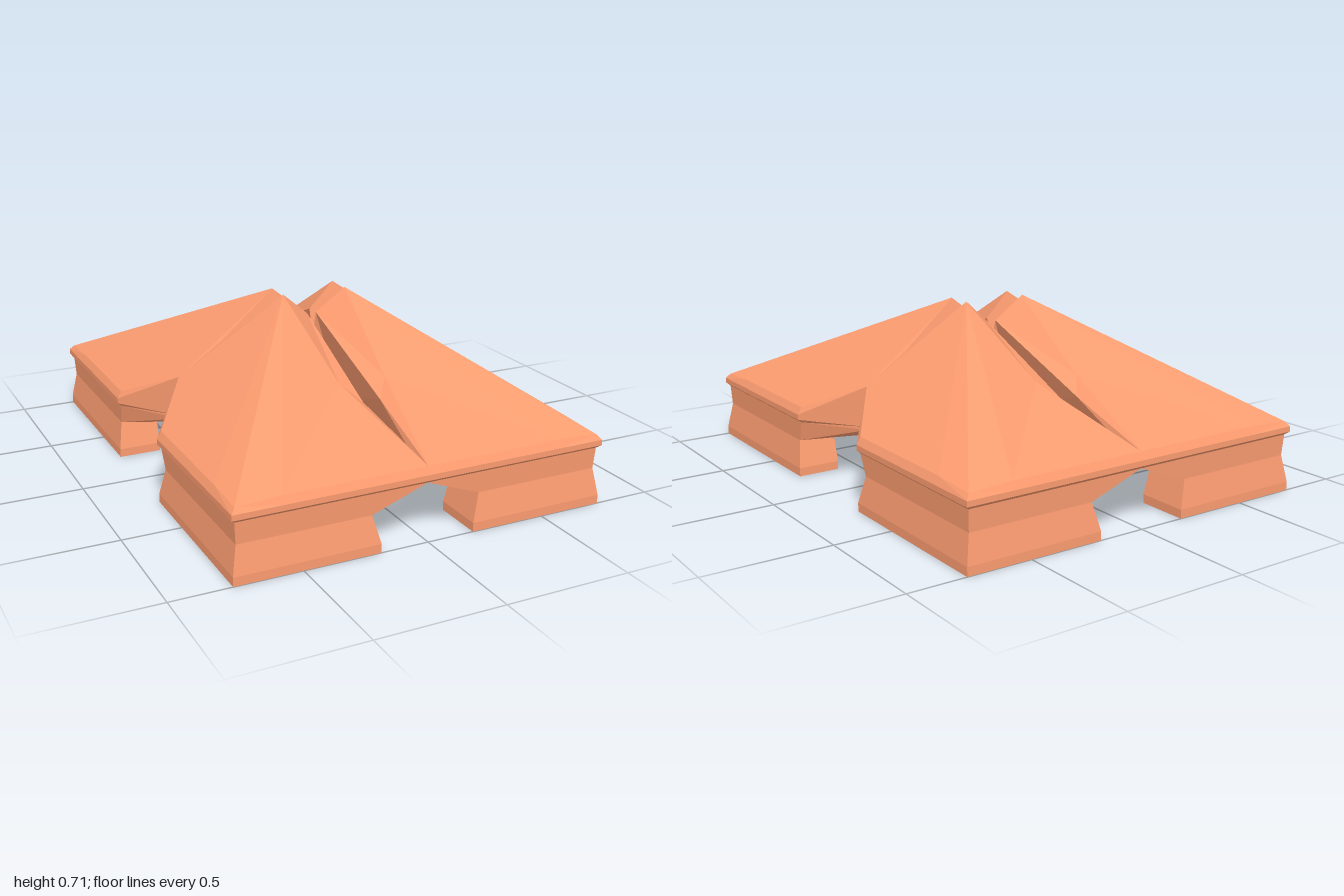
import * as THREE from 'three';

const material = new THREE.MeshStandardMaterial({ color: 0xfc9c70, flatShading: true });

// Builds a faceted mesh from convex polygons, each split as a fan
function facets(name, polygons) {
  const pos = [];
  for (const p of polygons) {
    for (let i = 1; i < p.length - 1; i++) pos.push(...p[0], ...p[i], ...p[i + 1]);
  }
  const geo = new THREE.BufferGeometry();
  geo.setAttribute('position', new THREE.Float32BufferAttribute(pos, 3));
  geo.computeVertexNormals();
  const mesh = new THREE.Mesh(geo, material);
  mesh.name = name;
  return mesh;
}

// Wall polygons between stacked outlines, listed from bottom to top
function walls(rings, closed) {
  const out = [];
  for (let k = 0; k < rings.length - 1; k++) {
    const lo = rings[k], hi = rings[k + 1], n = lo.length;
    for (let i = 0; i < (closed ? n : n - 1); i++) {
      const j = (i + 1) % n;
      out.push([lo[i], lo[j], hi[j], hi[i]]);
    }
  }
  return out;
}

// Rim outline: front centre, front break, corner, side break, side, notch
const rimRing = (y, d, yCorner = y, yNotch = y) => [
  [0, y, 1 - d], [0.57, y, 1 - d], [0.765 - d, yCorner, 1 - d],
  [0.765 - d, y, 0.8], [0.765 - d, y, 0.25], [0.58, yNotch, 0],
];

// L-shaped outline of a foot; d insets the outside, e insets the ends
const footRing = (y, d, e) => [
  [0.193 + e, y, 1 - d], [0.765 - d, y, 1 - d], [0.765 - d, y, 0.25 + e],
  [0.59, y, 0.25 + e], [0.59, y, 0.79], [0.193 + e, y, 0.79],
];

function createQuarter() {
  const quarter = new THREE.Group();
  // The rim rises at the notch to meet the roof ridge
  const rim = [
    rimRing(0.23, 0.015), rimRing(0.243, 0), rimRing(0.265, 0), rimRing(0.294, 0.017, 0.285, 0.41),
  ];
  const foot = [[0, 0, 0], [0.035, 0, 0], [0.145, 0.02, 0.03]].map(([y, d, e]) => footRing(y, d, e));
  const [rF, rA, rC, rB, rS, rN] = rim[0];
  const [tF, tA, tC, tB, tS, tN] = rim[rim.length - 1];
  const [fG, fC, fS, fSi, fK, fGi] = foot[2];

  // Roof key points
  const peak = [0.14, 0.715, 0.055], crease = [0.1, 0.46, 0.48];
  const valley = [0.4, 0.53, 0], valleyEnd = [0.02, 0.5, 0];
  const slitTop = [0.02, 0.615, 0.03], slitMid = [0.037, 0.4, 0.56], slitEnd = [0, 0.29, 0.88];

  // Underside key points
  const lowCentre = [0.15, 0.21, 0], lowMid = [0.12, 0.2, 0.56], lowEnd = [0, 0.23, 0.88];
  const lowNotch = [0.5, 0.205, 0], hollow = [0.3, 0.33, 0.35];

  // Sloping roof with corner facets and the valleys beside the slit
  quarter.add(facets('roof', [
    [tA, peak, crease, tF],
    [tA, tC, peak], [tC, tB, peak], [tB, tS, peak],
    [tS, tN, peak], [tN, valley, peak],
    [peak, valley, valleyEnd, slitTop],
    [slitTop, slitMid, crease, peak],
    [slitMid, slitEnd, tF, crease],
  ]));

  // Moulded rim and the skirt down to the arches
  quarter.add(facets('rim', [
    ...walls(rim, false),
    [fG, fC, rC, rA, rF], [fC, fS, rS, rB, rC], [fS, rN, rS],
  ]));

  // Inner faces of the central slit, splaying outward below
  quarter.add(facets('slitWall', [
    [lowCentre, lowMid, slitMid, slitTop, valleyEnd],
    [lowMid, lowEnd, slitEnd, slitMid],
  ]));

  // Underside: arch soffits, seam beam and a shallow hollow over the foot
  quarter.add(facets('underside', [
    [rF, fG, fGi, lowEnd], [fSi, fS, rN, lowNotch],
    [lowEnd, fGi, lowMid], [fSi, lowNotch, lowCentre],
    [fGi, fK, hollow], [fK, fSi, hollow], [fSi, lowCentre, hollow],
    [lowCentre, lowMid, hollow], [lowMid, fGi, hollow],
  ].map((p) => p.reverse())));

  // L-shaped corner foot
  const b = foot[0];
  quarter.add(facets('foot', [
    ...walls(foot, true),
    [b[5], b[4], b[1], b[0]], [b[4], b[3], b[2], b[1]],
  ]));
  return quarter;
}

export function createModel() {
  const model = new THREE.Group();
  model.name = 'splitPyramidBase';
  // Four mirrored quarters
  for (const sx of [1, -1]) {
    for (const sz of [1, -1]) {
      const quarter = createQuarter();
      quarter.name = `${sz > 0 ? 'front' : 'back'}${sx > 0 ? 'Left' : 'Right'}Quarter`;
      quarter.scale.set(sx, 1, sz);
      model.add(quarter);
    }
  }
  return model;
}
